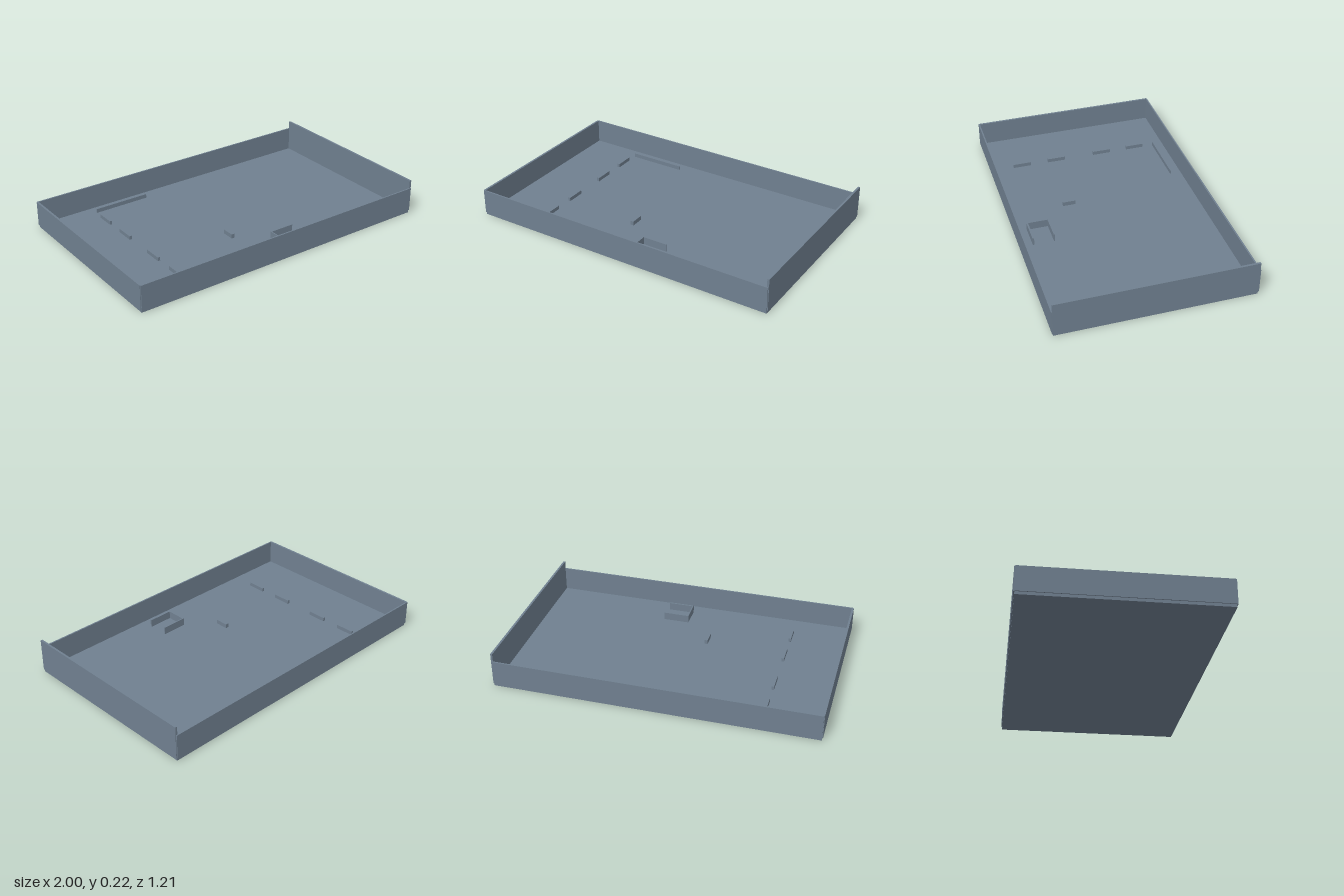
import * as THREE from 'three';

export function createModel() {
  const model = new THREE.Group();
  model.name = 'tray';
  const slate = new THREE.MeshStandardMaterial({ color: 0x708090 });
  slate.name = 'slate grey';

  // Box given by its lower and upper limits on each axis
  function slab(name, [x0, x1], [y0, y1], [z0, z1], parent = model) {
    const mesh = new THREE.Mesh(new THREE.BoxGeometry(x1 - x0, y1 - y0, z1 - z0), slate);
    mesh.position.set((x0 + x1) / 2, (y0 + y1) / 2, (z0 + z1) / 2);
    mesh.name = name;
    parent.add(mesh);
  }

  const floor = 0.018, rim = 0.172;

  // Floor plate, slightly inset from the walls
  slab('floorPlate', [-0.994, 0.994], [0, floor], [-0.6, 0.6]);

  // Outer walls: the one on the left side stands taller
  slab('frontWall', [-0.996, 0.996], [floor, rim], [0.597, 0.606]);
  slab('backWall', [-0.996, 0.996], [floor, rim], [-0.606, -0.597]);
  slab('rightWall', [-1, -0.987], [floor, rim], [-0.6, 0.6]);
  slab('tallLeftWall', [0.987, 1], [floor, 0.224], [-0.6, 0.6]);

  // Row of four low blocks
  const row = new THREE.Group();
  row.name = 'blockRow';
  model.add(row);
  for (const z of [-0.396, -0.16, 0.155, 0.39]) {
    slab('rowBlock', [-0.645, -0.629], [floor, 0.042], [z - 0.059, z + 0.059], row);
  }

  // Thin rail near the back and a single block in the middle
  slab('backRail', [-0.63, -0.264], [floor, 0.044], [-0.53, -0.524]);
  slab('singleBlock', [-0.138, -0.117], [floor, 0.045], [0.164, 0.246]);

  // Three-sided open bracket
  const bracket = new THREE.Group();
  bracket.name = 'bracket';
  model.add(bracket);
  slab('bracketBack', [0.05, 0.213], [floor, 0.067], [0.384, 0.391], bracket);
  slab('bracketSide', [0.05, 0.057], [floor, 0.067], [0.391, 0.513], bracket);
  slab('bracketFront', [0.05, 0.213], [floor, 0.067], [0.513, 0.523], bracket);

  return model;
}
